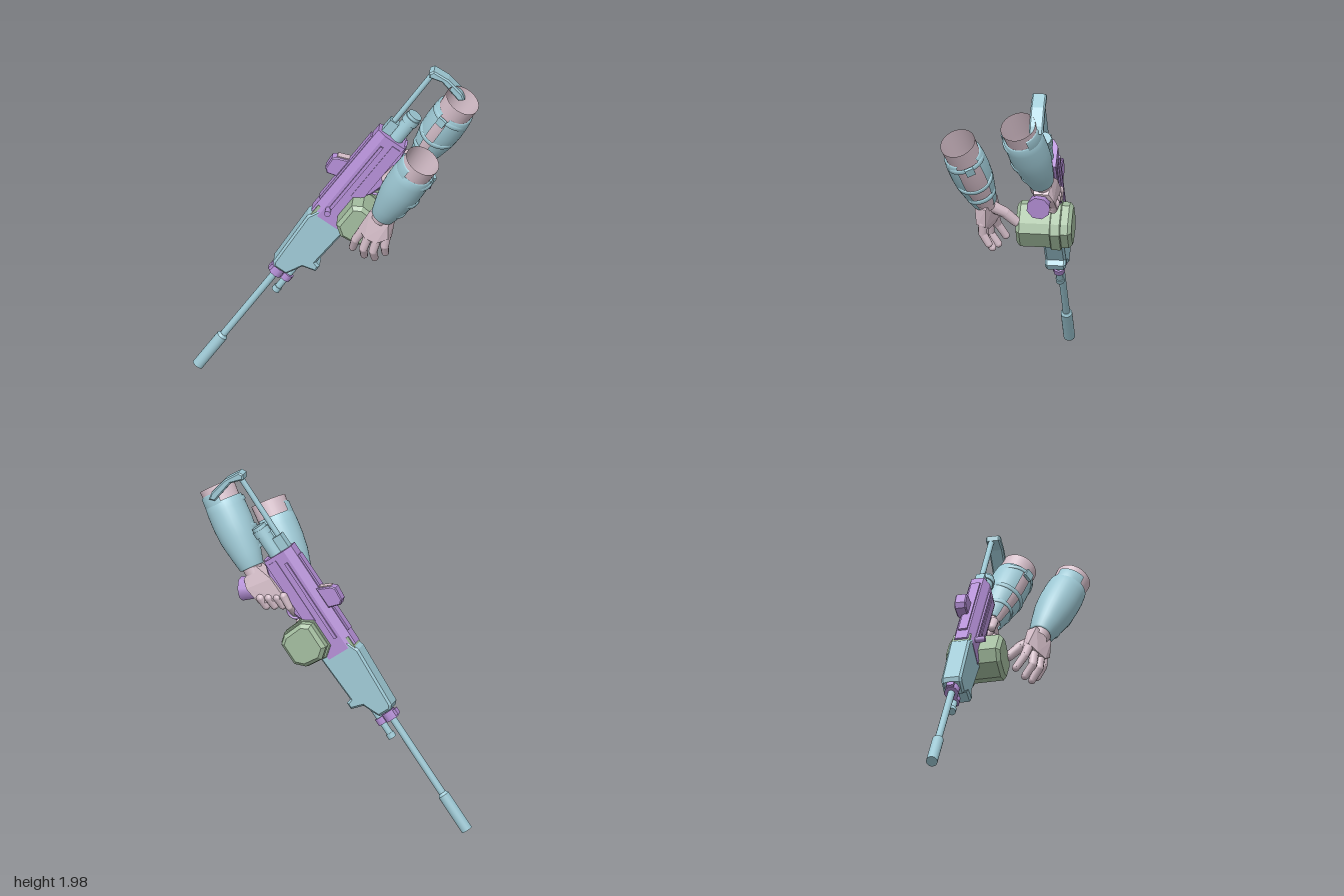
import * as THREE from 'three';
import { ConvexGeometry } from 'three/addons/geometries/ConvexGeometry.js';

const V = (p) => new THREE.Vector3(...p);
const mat = (name, color, extra = {}) => {
  const m = new THREE.MeshStandardMaterial({ color, ...extra });
  m.name = name;
  return m;
};

export function createModel() {
  const blue = mat('paleBlue', 0x9fcad6, { side: THREE.DoubleSide });
  const purple = mat('violet', 0xb48fd6);
  const pink = mat('dustyPink', 0xd6bfca, { side: THREE.DoubleSide });
  const green = mat('sageGreen', 0xa3bd9f);

  const model = new THREE.Group();
  model.name = 'gunWithArms';
  const add = (parent, name, geo, m) => {
    const mesh = new THREE.Mesh(geo, m);
    mesh.name = name;
    parent.add(mesh);
    return mesh;
  };
  const frame = (name, x, y, origin) => {
    const g = new THREE.Group();
    g.name = name;
    const z = x.clone().cross(y);
    g.setRotationFromMatrix(new THREE.Matrix4().makeBasis(x, y, z));
    g.position.copy(origin);
    model.add(g);
    return g;
  };
  // Tapered rod between two points
  const rod = (parent, name, p, q, r0, r1, m, sides = 16) => {
    const a = V(p), b = V(q), dir = b.clone().sub(a);
    const mesh = add(parent, name, new THREE.CylinderGeometry(r1, r0, dir.length(), sides), m);
    mesh.position.copy(a).add(b).multiplyScalar(0.5);
    mesh.quaternion.setFromUnitVectors(new THREE.Vector3(0, 1, 0), dir.normalize());
    return mesh;
  };
  // Jointed finger
  const finger = (parent, name, pts, r) => {
    const g = new THREE.Group();
    g.name = name;
    parent.add(g);
    pts.forEach((p, i) => {
      const ri = r * (1 - 0.1 * i);
      add(g, 'joint', new THREE.SphereGeometry(ri, 10, 8), pink).position.copy(V(p));
      if (i) rod(g, 'segment', pts[i - 1], p, ri * 1.1, ri, pink, 10);
    });
  };
  const box = (parent, name, a0, a1, h0, h1, w0, w1, m) =>
    add(parent, name, new THREE.BoxGeometry(a1 - a0, h1 - h0, w1 - w0), m)
      .position.set((a0 + a1) / 2, (h0 + h1) / 2, (w0 + w1) / 2);
  const shape = (pts) => new THREE.Shape(pts.map(([x, y]) => new THREE.Vector2(x, y)));
  // Side profile extruded across the gun
  const slab = (parent, name, pts, width, m, bevel = 0.01, w = 0) => {
    const depth = width - 2 * bevel;
    const geo = new THREE.ExtrudeGeometry(shape(pts), {
      depth, bevelEnabled: bevel > 0, bevelSize: bevel, bevelOffset: -bevel, bevelThickness: bevel, bevelSegments: 1,
    });
    geo.translate(0, 0, w - depth / 2);
    return add(parent, name, geo, m);
  };
  // Cross-section (w, h) extruded along the gun
  const beam = (parent, name, pts, a0, a1, m) => {
    const geo = new THREE.ExtrudeGeometry(shape(pts), { depth: a1 - a0, bevelEnabled: false });
    geo.rotateY(Math.PI / 2).translate(a0, 0, 0);
    return add(parent, name, geo, m);
  };

  // Gun frame: x runs from muzzle to butt, y is the gun's up, z its side
  const d = new THREE.Vector3(0.512, 0.818, -0.262).normalize();
  const up = new THREE.Vector3(0, 1, 0).addScaledVector(d, -d.y).normalize();
  const gun = frame('gun', d, up, new THREE.Vector3(-0.715, 0.02, 0.325));

  // Barrel group
  rod(gun, 'suppressor', [0, 0, 0], [0.235, 0, 0], 0.032, 0.032, blue, 20);
  rod(gun, 'suppressorCollar', [0.235, 0, 0], [0.25, 0, 0], 0.032, 0.021, blue, 20);
  rod(gun, 'barrel', [0.24, 0, 0], [0.82, 0, 0], 0.02, 0.02, blue);
  rod(gun, 'gasTube', [0.67, -0.065, 0], [0.86, -0.065, 0], 0.019, 0.019, blue);
  rod(gun, 'gasTubeTip', [0.655, -0.065, 0], [0.685, -0.065, 0], 0.024, 0.024, blue);
  rod(gun, 'barrelRing', [0.745, 0, 0], [0.795, 0, 0], 0.042, 0.042, purple, 8);
  rod(gun, 'gasRing', [0.75, -0.062, 0], [0.79, -0.062, 0], 0.033, 0.033, purple, 8);
  box(gun, 'gasBlock', 0.752, 0.788, -0.06, 0.05, -0.02, 0.02, purple);

  // Handguard with a hand stop below its front
  slab(gun, 'handguard', [[0.80, 0.04], [0.82, 0.06], [1.18, 0.08], [1.25, 0.05], [1.275, -0.145], [0.965, -0.13],
    [0.955, -0.16], [0.915, -0.16], [0.895, -0.085], [0.84, -0.06], [0.80, -0.04]], 0.115, blue, 0.012);
  box(gun, 'feedTray', 1.17, 1.27, -0.06, 0.07, -0.05, 0.05, green);

  // Receiver
  beam(gun, 'receiver', [[-0.06, -0.1], [0.06, -0.1], [0.06, 0.035], [0.035, 0.08], [-0.035, 0.08], [-0.06, 0.035]], 1.215, 1.865, purple);
  slab(gun, 'lowerReceiver', [[1.46, -0.09], [1.5, -0.125], [1.6, -0.15], [1.76, -0.14], [1.875, -0.105], [1.86, -0.09]], 0.09, purple);
  box(gun, 'topCover', 1.3, 1.8, 0.078, 0.09, -0.025, 0.025, purple);
  for (const s of [-1, 1]) {
    box(gun, 'sideRail', 1.3, 1.8, 0.0, 0.018, s * 0.063 - 0.007, s * 0.063 + 0.007, purple);
    box(gun, 'sidePlate', 1.44, 1.84, -0.085, -0.035, s * 0.061 - 0.004, s * 0.061 + 0.004, purple);
  }
  rod(gun, 'chargingHandle', [1.29, 0.015, 0.05], [1.29, 0.015, 0.115], 0.015, 0.018, purple, 10);
  slab(gun, 'rearSight', [[1.465, 0.07], [1.445, 0.14], [1.465, 0.165], [1.54, 0.172], [1.56, 0.15], [1.59, 0.07]], 0.065, purple, 0.006, -0.025);
  slab(gun, 'sightLens', [[1.56, 0.152], [1.566, 0.152], [1.594, 0.085], [1.588, 0.085]], 0.045, pink, 0, -0.025);
  const guard = add(gun, 'triggerGuard', new THREE.TorusGeometry(0.045, 0.008, 6, 14, Math.PI), purple);
  guard.position.set(1.54, -0.13, 0);
  guard.rotation.z = Math.PI;
  box(gun, 'trigger', 1.535, 1.547, -0.16, -0.11, -0.008, 0.008, purple);
  slab(gun, 'grip', [[1.64, -0.12], [1.76, -0.12], [1.825, -0.28], [1.73, -0.3]], 0.075, purple, 0.015, 0.005);
  rod(gun, 'gripPommel', [1.76, -0.265, 0.015], [1.795, -0.335, 0.02], 0.058, 0.068, purple, 8);

  // Ammunition box hung across the gun
  slab(gun, 'ammoBox', [[1.29, -0.05], [1.44, -0.05], [1.475, -0.1], [1.465, -0.22], [1.43, -0.265],
    [1.3, -0.265], [1.255, -0.215], [1.245, -0.11]], 0.31, green, 0.02, 0.025);
  slab(gun, 'ammoBoxBand', [[1.28, -0.04], [1.45, -0.04], [1.485, -0.1], [1.475, -0.228], [1.437, -0.277],
    [1.293, -0.277], [1.245, -0.222], [1.235, -0.1]], 0.06, green, 0.005, -0.04);

  // Stock
  rod(gun, 'buffer', [1.86, -0.035, 0], [2.05, -0.035, 0], 0.042, 0.042, blue, 18);
  rod(gun, 'bufferCap', [1.99, -0.035, 0], [2.03, -0.035, 0], 0.048, 0.048, blue, 18);
  box(gun, 'stockHinge', 1.86, 1.95, 0.005, 0.06, -0.025, 0.025, blue);
  rod(gun, 'stockRod', [1.9, 0.035, 0], [2.34, 0.04, 0], 0.016, 0.016, blue, 10);
  slab(gun, 'buttPlate', [[2.315, 0.055], [2.34, 0.07], [2.365, 0.055], [2.37, -0.04], [2.345, -0.15], [2.32, -0.185], [2.295, -0.16], [2.335, -0.02]],
    0.08, blue, 0.008, 0.012);

  // Forearm with an open armour shell and straps; gapDir is the side the shell opens to
  const forearm = (name, wrist, elbow, gapDir, half) => {
    const axis = V(elbow).sub(V(wrist));
    const len = axis.length();
    axis.normalize();
    const x = V(gapDir);
    x.addScaledVector(axis, -x.dot(axis)).normalize();
    const g = frame(name, x, axis, V(wrist));
    const lathe = (part, pts, m, from = 0, sweep = Math.PI * 2) => {
      const pv = pts.map(([r, t]) => new THREE.Vector2(r, t * len));
      return add(g, part, new THREE.LatheGeometry(pv, 28, from, sweep), m);
    };
    lathe('arm', [[0.05, -0.05], [0.056, 0.05], [0.074, 0.25], [0.09, 0.5], [0.093, 0.7], [0.1, 1]], pink);
    lathe('armGuard', [[0.06, 0.02], [0.07, 0.03], [0.088, 0.18], [0.108, 0.38], [0.114, 0.55], [0.113, 0.72], [0.108, 0.82], [0.096, 0.82]],
      blue, Math.PI / 2 + half, Math.PI * 2 - 2 * half);
    lathe('elbowPlate', [[0.1, 0.78], [0.109, 0.8], [0.107, 0.92], [0.099, 0.93]], blue, Math.PI * 1.5 - 0.7, 1.4);
    // Straps sit inside the shell and show only across the gap
    [[0.2, 0.078, 0.1], [0.45, 0.1, -0.15], [0.74, 0.1, 0.2]].forEach(([t, r, tilt]) => {
      const strap = lathe('strap', [[r, -0.025], [r + 0.008, -0.02], [r + 0.008, 0.02], [r, 0.025]], blue, 0, Math.PI);
      strap.position.set(0.016, t * len, 0);
      strap.rotation.z = tilt;
    });
    const buckle = add(g, 'buckle', new THREE.BoxGeometry(0.018, 0.05, 0.05), blue);
    buckle.position.set(0.122, len * 0.76, 0);
  };
  forearm('leftForearm', [0.38, 1.22, 0.15], [0.65, 1.66, 0.155], [0.75, 0, -0.65], 0.6);
  forearm('rightForearm', [0.39, 1.42, -0.235], [0.655, 1.85, -0.25], [0, 0, 1], 0.25);

  // Open left hand
  const leftHand = new THREE.Group();
  leftHand.name = 'leftHand';
  model.add(leftHand);
  const hull = (parent, name, pts) => add(parent, name, new ConvexGeometry(pts.map(V)), pink);
  hull(leftHand, 'palm', [[0.32, 1.25, 0.18], [0.44, 1.2, 0.18], [0.32, 1.25, 0.11], [0.44, 1.2, 0.11],
    [0.245, 1.12, 0.185], [0.3, 1.08, 0.205], [0.37, 1.065, 0.2], [0.435, 1.1, 0.175],
    [0.25, 1.11, 0.135], [0.3, 1.07, 0.14], [0.36, 1.06, 0.135], [0.425, 1.09, 0.12]]);
  [[[0.268, 1.11, 0.165], [0.222, 1.035, 0.175], [0.185, 0.96, 0.145]],
    [[0.308, 1.09, 0.172], [0.28, 1.0, 0.185], [0.26, 0.935, 0.145]],
    [[0.36, 1.08, 0.17], [0.34, 1.0, 0.18], [0.325, 0.935, 0.14]],
    [[0.408, 1.1, 0.15], [0.4, 1.04, 0.155], [0.385, 0.98, 0.125]],
  ].forEach((p) => finger(leftHand, 'finger', p, 0.027));
  finger(leftHand, 'thumb', [[0.35, 1.19, 0.125], [0.3, 1.15, 0.075], [0.255, 1.09, 0.03]], 0.034);

  // Right hand closed round the grip, placed in the gun's frame
  const rightHand = new THREE.Group();
  rightHand.name = 'rightHand';
  gun.add(rightHand);
  hull(rightHand, 'palm', [[1.88, -0.17, -0.035], [1.88, -0.17, 0.05], [1.84, -0.27, -0.035], [1.84, -0.27, 0.05],
    [1.77, -0.12, -0.065], [1.76, -0.12, 0.05], [1.79, -0.28, -0.06], [1.8, -0.27, 0.045],
    [1.64, -0.11, -0.08], [1.68, -0.26, -0.07], [1.64, -0.12, -0.04], [1.69, -0.26, -0.04]]);
  for (let i = 0; i < 3; i++) {
    const h = -0.15 - 0.043 * i, a = 1.61 + 0.023 * i;
    finger(rightHand, 'finger', [[a + 0.05, h, -0.06], [a - 0.005, h - 0.005, -0.045], [a, h - 0.005, 0.03], [a + 0.05, h, 0.058]], 0.026);
  }
  finger(rightHand, 'triggerFinger', [[1.65, -0.11, -0.07], [1.58, -0.12, -0.065], [1.535, -0.135, -0.02]], 0.022);
  finger(rightHand, 'thumb', [[1.8, -0.16, 0.045], [1.73, -0.13, 0.068], [1.65, -0.12, 0.07]], 0.028);

  return model;
}
